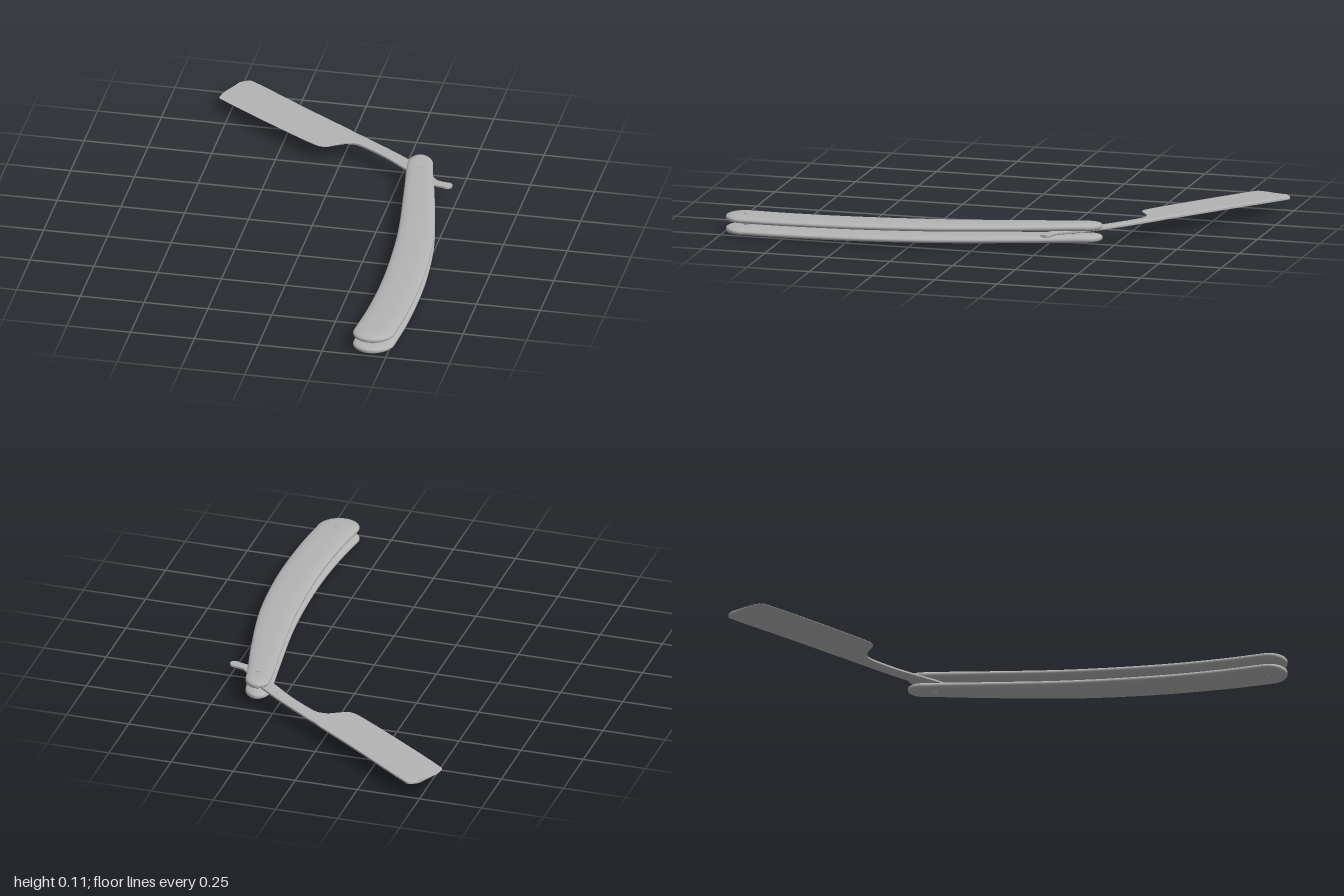
import * as THREE from 'three';
import { toCreasedNormals } from 'three/addons/utils/BufferGeometryUtils.js';

// Closed skin through equal-length rings of [x, y, z], with capped ends
function loft(rings, crease) {
  const n = rings[0].length, idx = [], pos = rings.flat();
  for (let i = 0; i < rings.length - 1; i++) {
    for (let j = 0; j < n; j++) {
      const a = i * n + j, b = i * n + (j + 1) % n;
      idx.push(a, b, a + n, b, b + n, a + n);
    }
  }
  const last = (rings.length - 1) * n;
  for (let j = 1; j < n - 1; j++) idx.push(0, j + 1, j, last, last + j, last + j + 1);
  // Signed volume tells whether the faces point outward
  let volume = 0;
  const v = [0, 1, 2].map(() => new THREE.Vector3());
  for (let k = 0; k < idx.length; k += 3) {
    v.forEach((p, m) => p.fromArray(pos[idx[k + m]]));
    volume += v[0].dot(v[1].cross(v[2]));
  }
  if (volume < 0) idx.reverse();
  const g = new THREE.BufferGeometry();
  g.setAttribute('position', new THREE.Float32BufferAttribute(pos.flat(), 3));
  g.setIndex(idx);
  g.computeVertexNormals();
  return crease ? toCreasedNormals(g, crease) : g;
}

// Handle plan: [z, left x, right x]
const HANDLE = [
  [-0.475, 0.282, 0.378], [-0.39, 0.289, 0.391], [-0.18, 0.32, 0.442], [0.13, 0.363, 0.506],
  [0.4, 0.381, 0.533], [0.585, 0.383, 0.537], [0.77, 0.374, 0.531], [0.92, 0.358, 0.518], [0.995, 0.35, 0.512],
];
const TILT = 0.021; // the handle rises toward the pivot

function scaleGeometry(y0) {
  const plan = new THREE.CatmullRomCurve3(HANDLE.map(p => new THREE.Vector3(...p)));
  const rings = [], N = 64, M = 28, z0 = -0.475, z1 = 0.995;
  const cap = (d, r) => (d >= r ? 1 : Math.sqrt(Math.max(0, 1 - ((r - d) / r) ** 2)));
  for (let i = 0; i <= N; i++) {
    const p = plan.getPoint((1 - Math.cos(Math.PI * i / N)) / 2);
    const c = Math.max(0.03, cap(p.x - z0, 0.06) * cap(z1 - p.x, 0.075));
    const mid = (p.y + p.z) / 2, w = (p.z - p.y) / 2 * c, h = 0.0155 * Math.sqrt(c);
    const ring = [];
    for (let j = 0; j < M; j++) {
      const a = j / M * Math.PI * 2, cs = Math.cos(a), sn = Math.sin(a);
      ring.push([
        mid + w * Math.sign(cs) * Math.abs(cs) ** 0.75,
        y0 - TILT * p.x + h * Math.sign(sn) * Math.abs(sn) ** 0.8,
        p.x,
      ]);
    }
    rings.push(ring);
  }
  return loft(rings);
}

// Blade plan from tip to tail: [spine x, spine z, edge x, edge z, hollow grind 0..1]
const BLADE = [
  [-0.487, -0.979, -0.534, -0.895, 1], [-0.475, -0.99, -0.541, -0.866, 1], [-0.452, -0.998, -0.542, -0.844, 1],
  [-0.425, -0.982, -0.515, -0.82, 1],
  [-0.18, -0.803, -0.262, -0.638, 1], [-0.02, -0.69, -0.103, -0.532, 1], [0.01, -0.668, -0.066, -0.521, 0.9],
  [0.035, -0.648, -0.024, -0.542, 0.6], [0.06, -0.632, 0.02, -0.563, 0.3], [0.105, -0.6, 0.082, -0.548, 0],
  [0.22, -0.517, 0.188, -0.474, 0], [0.315, -0.44, 0.28, -0.395, 0], [0.39, -0.36, 0.36, -0.325, 0],
  [0.425, -0.322, 0.405, -0.289, 0], [0.455, -0.311, 0.45, -0.276, 0], [0.476, -0.308, 0.472, -0.27, 0],
  [0.487, -0.298, 0.485, -0.278, 0],
];

function bladeGeometry() {
  const curve = f => new THREE.CatmullRomCurve3(BLADE.map(f));
  const spine = curve(b => new THREE.Vector3(b[0], b[4], b[1]));
  const edge = curve(b => new THREE.Vector3(b[2], b[4], b[3]));
  const us = [0, 0.07, 0.25, 0.5, 0.75, 1];
  const ground = [0.6, 1, 0.7, 0.45, 0.28, 0.12];
  const tang = [0.6, 1, 1, 1, 1, 0.6];
  const rings = [], N = 96;
  for (let i = 0; i <= N; i++) {
    const s = spine.getPoint(i / N), e = edge.getPoint(i / N);
    const g = THREE.MathUtils.clamp(s.y, 0, 1);
    const side = sign => us.map((u, k) => {
      const x = s.x + (e.x - s.x) * u, z = s.z + (e.z - s.z) * u;
      const h = 0.006 * (tang[k] + (ground[k] - tang[k]) * g);
      return [x, 0.068 + 0.015 * x + sign * h, z];
    });
    rings.push([...side(1), ...side(-1).reverse()]);
  }
  return loft(rings, 0.6);
}

export function createModel() {
  const grey = new THREE.MeshStandardMaterial({ color: 0xb4b4b4 });
  grey.name = 'plain grey';
  const model = new THREE.Group();
  model.name = 'straightRazor';
  const add = (name, geometry) => {
    const mesh = new THREE.Mesh(geometry, grey);
    mesh.name = name;
    model.add(mesh);
    return mesh;
  };

  // Two handle scales with the blade between them
  add('upperScale', scaleGeometry(0.083));
  add('lowerScale', scaleGeometry(0.037));
  add('blade', bladeGeometry());

  // Pivot pin and the spacer pin at the far end
  for (const [name, x, y, z] of [['pivotPin', 0.345, 0.068, -0.37], ['spacerPin', 0.437, 0.041, 0.91]]) {
    const pin = add(name, new THREE.CylinderGeometry(0.012, 0.012, 0.079, 20));
    pin.position.set(x, y, z);
    pin.rotation.x = TILT;
  }
  return model;
}
